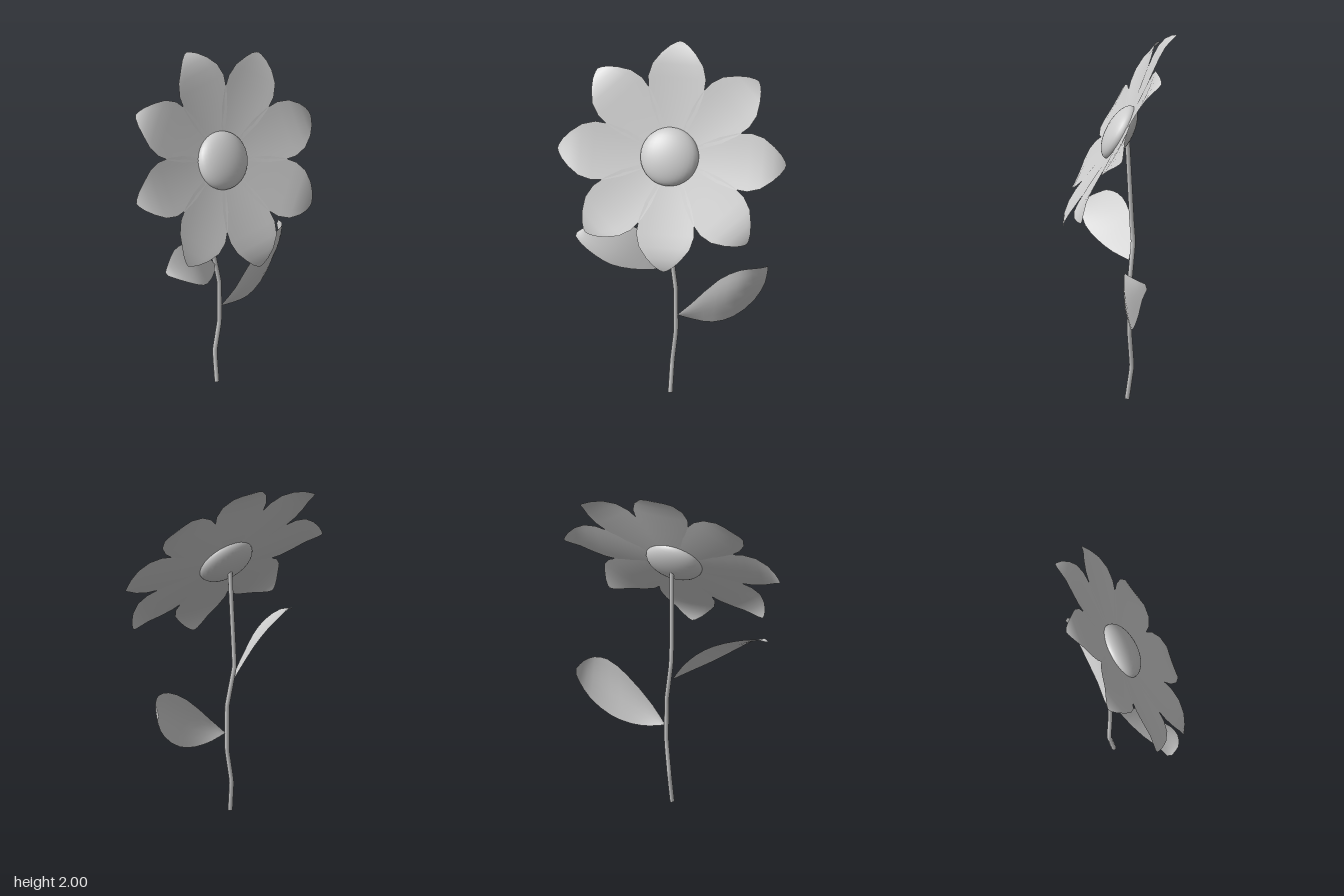
import * as THREE from 'three';

const solid = new THREE.MeshStandardMaterial({ color: 0xcccccc });
const thin = new THREE.MeshStandardMaterial({ color: 0xcccccc, side: THREE.DoubleSide });
const points = (list) => list.map((p) => new THREE.Vector3(...p));

function addMesh(parent, name, geometry, material) {
  const mesh = new THREE.Mesh(geometry, material);
  mesh.name = name;
  parent.add(mesh);
  return mesh;
}

// Thin sheet: place(u, v, target) with u along the length and v across, both 0..1
function sheet(place, nu, nv) {
  const geometry = new THREE.PlaneGeometry(1, 1, nv, nu);
  const pos = geometry.attributes.position;
  const p = new THREE.Vector3();
  for (let i = 0; i < pos.count; i++) {
    place(pos.getY(i) + 0.5, pos.getX(i) + 0.5, p);
    pos.setXYZ(i, p.x, p.y, p.z);
  }
  geometry.computeVertexNormals();
  return geometry;
}

// Petal growing along +y: [distance, half width, forward offset], edges cupped forward
function petalGeometry() {
  const rows = [
    [0.06, 0.03, -0.002], [0.16, 0.08, 0.004], [0.25, 0.122, 0.012], [0.34, 0.148, 0.02],
    [0.42, 0.156, 0.028], [0.49, 0.137, 0.034], [0.55, 0.093, 0.032], [0.59, 0.052, 0.018],
    [0.61, 0.02, 0.006], [0.616, 0.002, 0.002],
  ];
  return sheet((u, v, p) => {
    const [r, w, bow] = rows[Math.round(u * (rows.length - 1))];
    const x = (v * 2 - 1) * w;
    p.set(x, r, bow + 0.35 * x * x);
  }, rows.length - 1, 6);
}

// Leaf spanned between two edge curves, its middle pushed out by sag
function leafGeometry(upper, lower, sag) {
  const a = new THREE.CatmullRomCurve3(points(upper));
  const b = new THREE.CatmullRomCurve3(points(lower));
  const bulge = new THREE.Vector3(...sag);
  return sheet((u, v, p) => {
    p.lerpVectors(a.getPoint(u), b.getPoint(u), v);
    p.addScaledVector(bulge, Math.sin(Math.PI * u) * Math.sin(Math.PI * v));
  }, 12, 6);
}

export function createModel() {
  const flower = new THREE.Group();
  flower.name = 'flower';

  // Kinked stem
  const joints = points([
    [-0.015, 0, -0.035], [-0.008, 0.18, -0.06], [0.013, 0.37, -0.047], [0.012, 0.63, -0.047],
    [-0.02, 0.86, -0.068], [-0.021, 0.97, -0.06], [-0.012, 1.45, -0.035],
  ]);
  const stemCurve = new THREE.CatmullRomCurve3(joints, false, 'catmullrom', 0.06);
  addMesh(flower, 'stem', new THREE.TubeGeometry(stemCurve, 60, 0.013, 8), solid);
  const foot = addMesh(flower, 'stemFoot', new THREE.CircleGeometry(0.013, 8), solid);
  foot.position.copy(joints[0]);
  foot.rotation.x = Math.PI / 2;

  // Tilted flower head
  const head = new THREE.Group();
  head.name = 'flowerHead';
  head.position.set(0, 1.464, 0);
  head.rotation.x = -0.511;
  flower.add(head);

  const petal = petalGeometry();
  for (let i = 0; i < 8; i++) {
    addMesh(head, 'petal', petal, thin).rotation.z = (i * Math.PI) / 4;
  }
  const disc = addMesh(head, 'flowerCentre', new THREE.SphereGeometry(1, 32, 20), solid);
  disc.scale.set(0.157, 0.157, 0.07);
  disc.position.set(-0.012, -0.002, 0.007);

  // Two leaves
  addMesh(flower, 'leftLeaf', leafGeometry(
    [[0.02, 0.47, -0.045], [0.1, 0.56, -0.02], [0.25, 0.72, -0.02], [0.36, 0.788, -0.015],
      [0.43, 0.797, -0.03], [0.475, 0.785, -0.07], [0.497, 0.765, -0.125]],
    [[0.02, 0.47, -0.045], [0.11, 0.447, -0.05], [0.21, 0.44, -0.05], [0.32, 0.475, -0.065],
      [0.43, 0.573, -0.09], [0.485, 0.675, -0.11], [0.495, 0.735, -0.135]],
    [0, 0.01, 0.02],
  ), thin);
  addMesh(flower, 'rightLeaf', leafGeometry(
    [[-0.02, 0.76, -0.045], [-0.08, 0.86, -0.06], [-0.16, 0.95, -0.055], [-0.25, 1.01, -0.035],
      [-0.36, 1.04, 0.01], [-0.45, 1.035, 0.07], [-0.498, 1.012, 0.1]],
    [[-0.02, 0.76, -0.045], [-0.1, 0.785, 0.04], [-0.2, 0.825, 0.12], [-0.3, 0.88, 0.185],
      [-0.38, 0.935, 0.2], [-0.46, 0.985, 0.175], [-0.5, 1.003, 0.125]],
    [0.01, -0.02, 0.005],
  ), thin);

  return flower;
}
